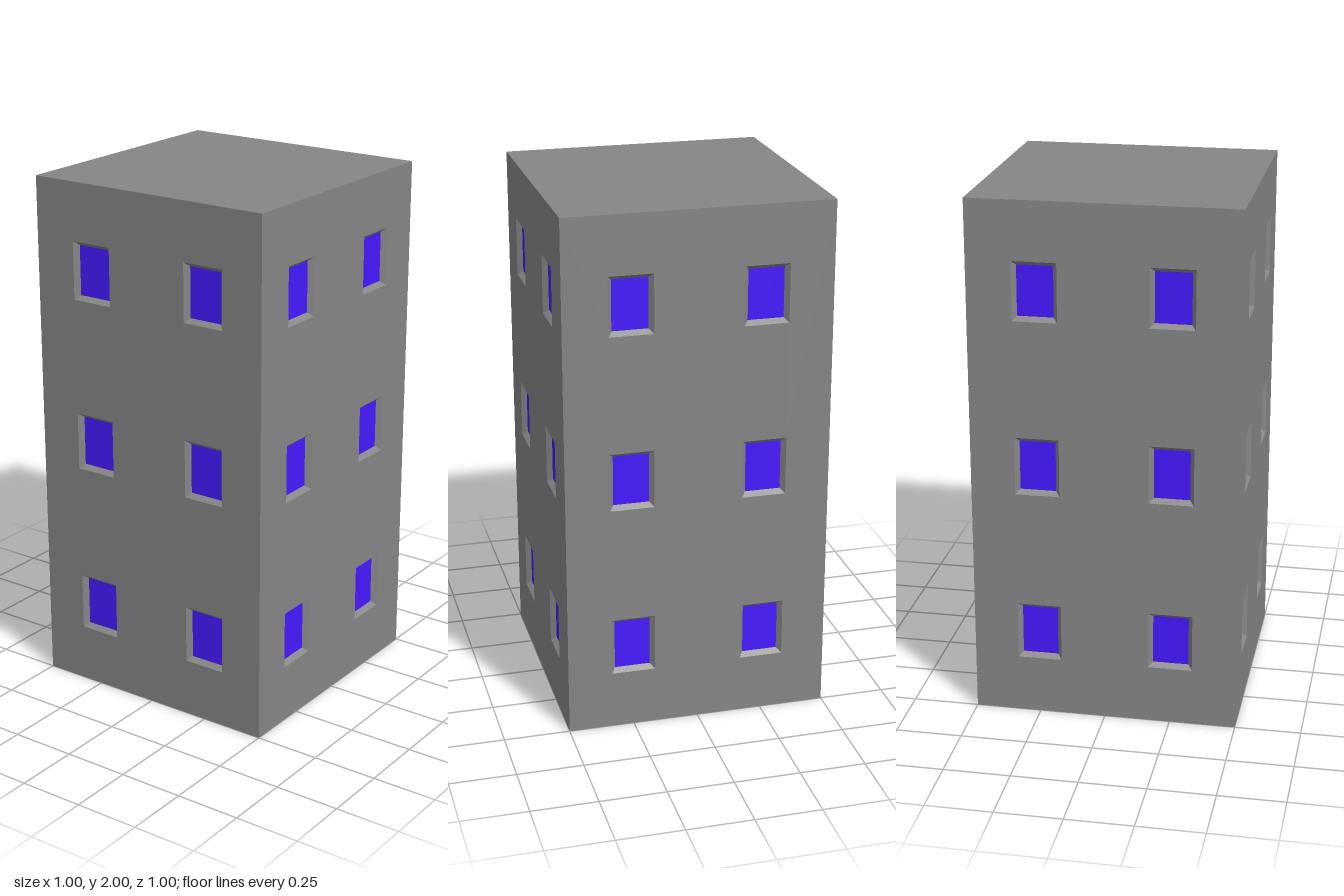
import * as THREE from 'three';

const WIDTH = 1, HEIGHT = 2;
const WIN_W = 1 / 6, WIN_H = 2 / 9; // window opening
const INSET = 0.016, DEPTH = 0.02; // splay and recess of the pane
const COLUMNS = [-0.25, 0.25], ROWS = [1 / 3, 1, 5 / 3];

// Corners of a centred rectangle, counter-clockwise
const corners = (w, h) => [[-w / 2, -h / 2], [w / 2, -h / 2], [w / 2, h / 2], [-w / 2, h / 2]];

// Four splayed faces from the wall opening back to the pane
function revealGeometry() {
  const outer = corners(WIN_W, WIN_H).map(([x, y]) => [x, y, 0]);
  const inner = corners(WIN_W - 2 * INSET, WIN_H - 2 * INSET).map(([x, y]) => [x, y, -DEPTH]);
  const points = [];
  for (let k = 0; k < 4; k++) {
    const n = (k + 1) % 4;
    points.push(...outer[k], ...outer[n], ...inner[n], ...outer[k], ...inner[n], ...inner[k]);
  }
  const geometry = new THREE.BufferGeometry();
  geometry.setAttribute('position', new THREE.Float32BufferAttribute(points, 3));
  geometry.computeVertexNormals();
  return geometry;
}

// Flat wall with a grid of window openings
function wallGeometry() {
  const w = WIDTH / 2;
  const shape = new THREE.Shape([[-w, 0], [w, 0], [w, HEIGHT], [-w, HEIGHT]].map(p => new THREE.Vector2(...p)));
  for (const x of COLUMNS) for (const y of ROWS) {
    const hole = corners(WIN_W, WIN_H).map(([a, b]) => new THREE.Vector2(x + a, y + b));
    shape.holes.push(new THREE.Path(hole.reverse()));
  }
  return new THREE.ShapeGeometry(shape);
}

export function createModel() {
  const model = new THREE.Group();
  model.name = 'towerBlock';
  const concrete = new THREE.MeshStandardMaterial({ color: 0x868686, side: THREE.DoubleSide });
  const glass = new THREE.MeshStandardMaterial({ color: 0x4718ff, side: THREE.DoubleSide });

  const add = (parent, name, geometry, material, x = 0, y = 0, z = 0) => {
    const mesh = new THREE.Mesh(geometry, material);
    mesh.name = name;
    mesh.position.set(x, y, z);
    parent.add(mesh);
    return mesh;
  };

  const wall = wallGeometry();
  const reveal = revealGeometry();
  const pane = new THREE.PlaneGeometry(WIN_W - 2 * INSET, WIN_H - 2 * INSET);

  // Four identical sides, the shell is open underneath
  ['front', 'left', 'back', 'right'].forEach((name, i) => {
    const side = new THREE.Group();
    side.name = name + 'Side';
    side.rotation.y = i * Math.PI / 2;
    add(side, 'wall', wall, concrete, 0, 0, WIDTH / 2);
    for (const x of COLUMNS) for (const y of ROWS) {
      add(side, 'windowReveal', reveal, concrete, x, y, WIDTH / 2);
      add(side, 'windowPane', pane, glass, x, y, WIDTH / 2 - DEPTH);
    }
    model.add(side);
  });

  // Flat roof
  add(model, 'roof', new THREE.PlaneGeometry(WIDTH, WIDTH), concrete, 0, HEIGHT, 0).rotation.x = -Math.PI / 2;
  return model;
}
